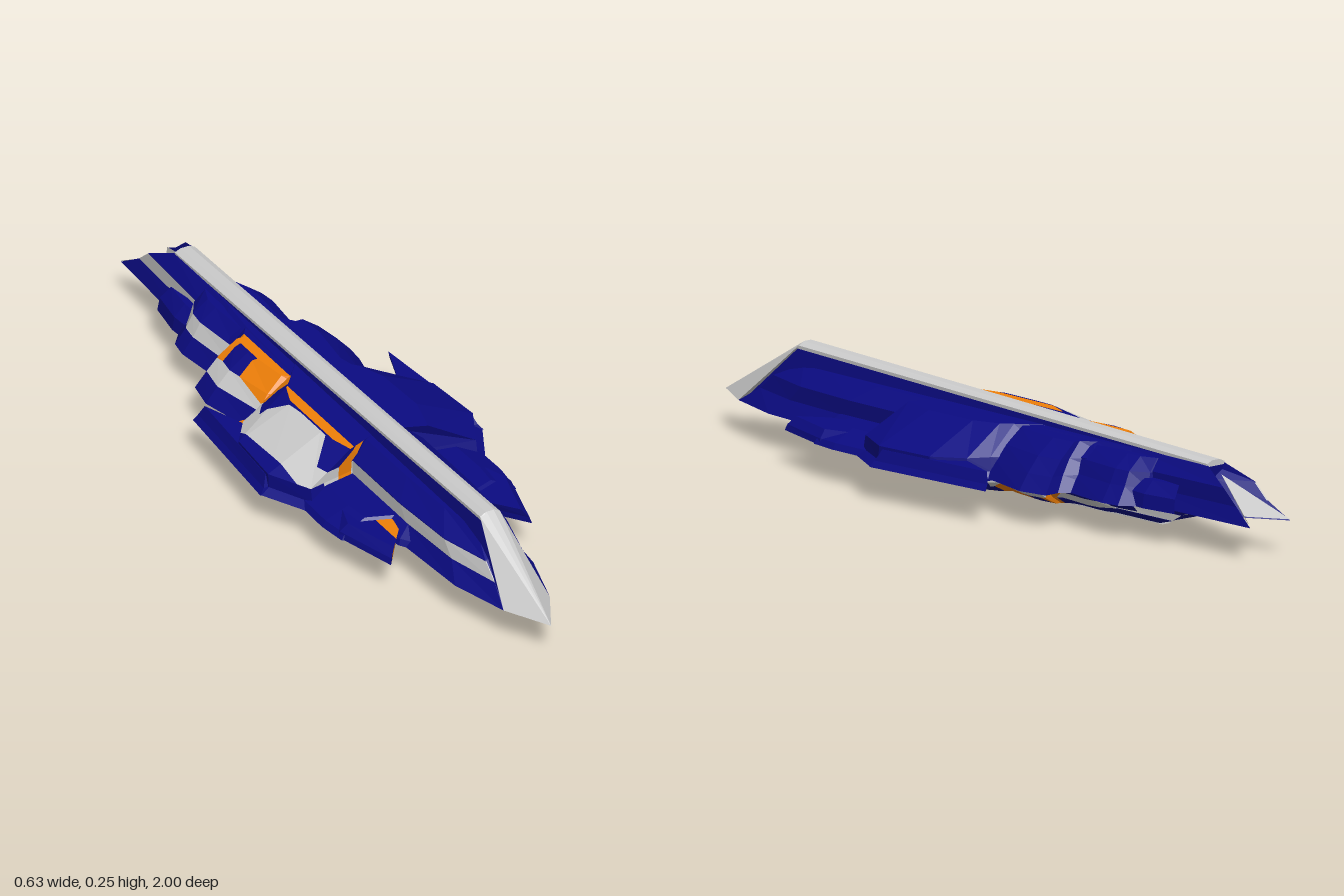
import * as THREE from 'three';
import { ConvexGeometry } from 'three/addons/geometries/ConvexGeometry.js';

const mat = (color) => new THREE.MeshStandardMaterial({ color, flatShading: true });
const blue = mat(0x0b0b82), orange = mat(0xf08008), grey = mat(0xcccccc);
const BASE = 0.085;

// Paint bands projected along z, each between two rows of [y, left x, right x]
function bands(material, ...rows) {
  return rows.slice(1).map(([y1, l1, r1], i) => {
    const [y0, l0, r0] = rows[i];
    return [material, [[l0, y0], [r0, y0], [r1, y1], [l1, y1]]];
  });
}
const bolt = bands(orange, [0.0855, -0.19, -0.14], [0.13, -0.144, -0.104], [0.163, -0.144, -0.104], [0.2025, -0.091, -0.063]);
const boltTop = bands(orange, [0.2025, -0.125, -0.097], [0.206, -0.125, -0.097]);
const stripe = bands(grey, [0.126, -0.19, -0.05], [0.163, -0.19, -0.05]);
const panel = bands(grey, [0.135, -0.25, -0.19], [0.163, -0.25, -0.19], [0.21, -0.25, -0.12]);
const full = [...bolt, ...boltTop, ...stripe, ...panel];

// Part of a polygon on one side of the line a-b seen from the front
function cut(poly, a, b, sign) {
  const dist = (p) => sign * ((b[0] - a[0]) * (p.y - a[1]) - (b[1] - a[1]) * (p.x - a[0]));
  const out = [];
  poly.forEach((p, i) => {
    const q = poly[(i + 1) % poly.length], dp = dist(p), dq = dist(q);
    if (dp >= 0) out.push(p);
    if ((dp > 0 && dq < 0) || (dp < 0 && dq > 0)) out.push(p.clone().lerp(q, dp / (dp - dq)));
  });
  return out;
}

function paintedGroup(name, faces, scheme) {
  const group = new THREE.Group();
  group.name = name;
  const done = new Map([[blue, []], [orange, []], [grey, []]]);
  let rest = faces;
  for (const [material, region] of scheme) {
    const next = [];
    for (const face of rest) {
      let inside = face;
      region.forEach((a, i) => {
        const b = region[(i + 1) % region.length];
        const outside = cut(inside, a, b, -1);
        if (outside.length > 2) next.push(outside);
        inside = cut(inside, a, b, 1);
      });
      if (inside.length > 2) done.get(material).push(inside);
    }
    rest = next;
  }
  done.get(blue).push(...rest);
  for (const [material, polys] of done) {
    const pts = [];
    for (const p of polys) for (let i = 1; i < p.length - 1; i++) pts.push(p[0], p[i], p[i + 1]);
    if (!pts.length) continue;
    const geo = new THREE.BufferGeometry().setFromPoints(pts);
    geo.computeVertexNormals();
    const mesh = new THREE.Mesh(geo, material);
    mesh.name = name + (material === blue ? 'Shell' : material === orange ? 'Bolt' : 'Panel');
    group.add(mesh);
  }
  return group;
}

// Stacked plate: an (x, z) outline shrunk through rings of [x scale, z scale, y]
function slab(name, outline, rings, scheme, side = 1) {
  const flat = outline.map(([x, z]) => new THREE.Vector2(x * side, z));
  if (THREE.ShapeUtils.area(flat) < 0) flat.reverse();
  const zs = flat.map((p) => p.y), cz = (Math.max(...zs) + Math.min(...zs)) / 2;
  const loops = [[1, 1, BASE], ...rings].map(([sx, sz, y]) =>
    flat.map((p) => new THREE.Vector3(p.x * sx, y, cz + (p.y - cz) * sz)));
  const faces = [];
  for (let r = 0; r < loops.length - 1; r++) {
    const lo = loops[r], hi = loops[r + 1];
    lo.forEach((p, i) => {
      const j = (i + 1) % lo.length;
      faces.push([p, hi[i], hi[j]], [p, hi[j], lo[j]]);
    });
  }
  const top = loops[loops.length - 1];
  for (const [a, b, c] of THREE.ShapeUtils.triangulateShape(flat, [])) {
    faces.push([loops[0][a], loops[0][b], loops[0][c]], [top[a], top[c], top[b]]);
  }
  return paintedGroup(name, faces, scheme);
}

// Convex solid from points mirrored across x
function solid(name, points, material) {
  const pts = points.flatMap(([x, y, z]) =>
    (x ? [1, -1] : [1]).map((s) => new THREE.Vector3(s * x, y, z)));
  const mesh = new THREE.Mesh(new ConvexGeometry(pts), material);
  mesh.name = name;
  return mesh;
}

function createHalfHull() {
  const hull = new THREE.Group();

  // Central hull with a swallow tail
  const half = [[0.065, 0.88], [0.11, 0.72], [0.125, 0.5], [0.125, -0.3], [0.11, -0.5], [0.08, -0.65], [0.065, -1]];
  const body = [...half, [0, -0.9], ...half.map(([x, z]) => [-x, z]).reverse()];
  hull.add(slab('centralHull', body, [[0.8, 0.93, 0.125], [0.8, 0.88, 0.165], [0.42, 0.79, 0.202]], stripe));

  // Stepped feather plates, the same on both sides
  const pair = (name, outline, rings, scheme) => {
    hull.add(slab('left ' + name, outline, rings, scheme), slab('right ' + name, outline, rings, scheme, -1));
  };
  pair('frontShoulder', [[0.05, 0.62], [0.135, 0.49], [0.15, 0.43], [0.245, 0.4], [0.255, 0.32], [0.25, 0.1], [0.05, 0.1]],
    [[0.96, 0.96, 0.1], [0.72, 0.85, 0.127]], []);
  pair('frontSpike', [[0.12, 0.38], [0.14, 0.48], [0.198, 0.56], [0.245, 0.38], [0.22, 0.3]],
    [[0.98, 0.96, 0.1], [0.9, 0.85, 0.12]], bolt);
  pair('mainWing', [[0.05, 0.2], [0.25, 0.24], [0.31, 0.12], [0.295, -0.06], [0.235, -0.14], [0.18, -0.17], [0.05, -0.25]],
    [[0.927, 0.97, 0.1], [0.927, 0.94, 0.135], [0.435, 0.86, 0.203]], full);
  pair('wingSpike', [[0.313, 0.12], [0.28, -0.27], [0.235, -0.14], [0.18, -0.1], [0.18, 0.1]],
    [[0.96, 0.97, 0.1], [0.92, 0.9, 0.128]], []);
  pair('rearWing', [[0.05, -0.1], [0.18, -0.16], [0.215, -0.32], [0.2, -0.4], [0.16, -0.4], [0.05, -0.48]],
    [[0.86, 0.94, 0.125], [0.7, 0.9, 0.163], [0.46, 0.85, 0.2]], full);
  pair('tailFeather', [[0.04, -0.36], [0.13, -0.38], [0.15, -0.55], [0.142, -0.6], [0.1, -0.65], [0.04, -0.66]],
    [[0.8, 0.93, 0.128], [0.68, 0.9, 0.163], [0.4, 0.86, 0.194]], stripe);
  pair('tailSpike', [[0.03, -0.55], [0.11, -0.6], [0.115, -0.66], [0.1, -0.76], [0.085, -0.67], [0.03, -0.72]],
    [[0.95, 0.97, 0.12], [0.7, 0.85, 0.15]], []);

  // Spine, its pale cap and the ram at the bow
  hull.add(solid('spine', [[0.06, BASE, 0.87], [0.027, 0.242, 0.7], [0.027, 0.203, -0.8], [0.05, BASE, -0.78]], blue));
  hull.add(solid('spineCap', [[0.028, 0.238, 0.71], [0.028, 0.246, 0.7], [0.012, 0.255, 0.7],
    [0.028, 0.198, -0.8], [0.028, 0.206, -0.8], [0.012, 0.213, -0.8]], grey));
  hull.add(solid('bowRam', [[0, BASE, 1], [0.065, BASE, 0.88], [0.028, 0.246, 0.7], [0.01, 0.255, 0.7]], grey));

  // Pale lining of the tail notch
  const liningMaterial = grey.clone();
  liningMaterial.side = THREE.DoubleSide;
  for (const s of [1, -1]) {
    const geo = new THREE.BufferGeometry().setFromPoints([
      new THREE.Vector3(s * 0.065, 0.088, -1), new THREE.Vector3(0, 0.088, -0.902), new THREE.Vector3(0, 0.18, -0.82)]);
    geo.computeVertexNormals();
    const lining = new THREE.Mesh(geo, liningMaterial);
    lining.name = 'tailNotch';
    hull.add(lining);
  }
  return hull;
}

export function createModel() {
  const model = new THREE.Group();
  model.name = 'ship';
  const upper = createHalfHull();
  upper.name = 'upperHull';

  // The lower hull is the upper one rolled over and shrunk
  const lower = upper.clone();
  lower.name = 'lowerHull';
  lower.rotation.z = Math.PI;
  lower.scale.set(0.77, 0.5, 0.77);
  lower.position.y = BASE * 1.5;

  model.add(upper, lower);
  return model;
}
